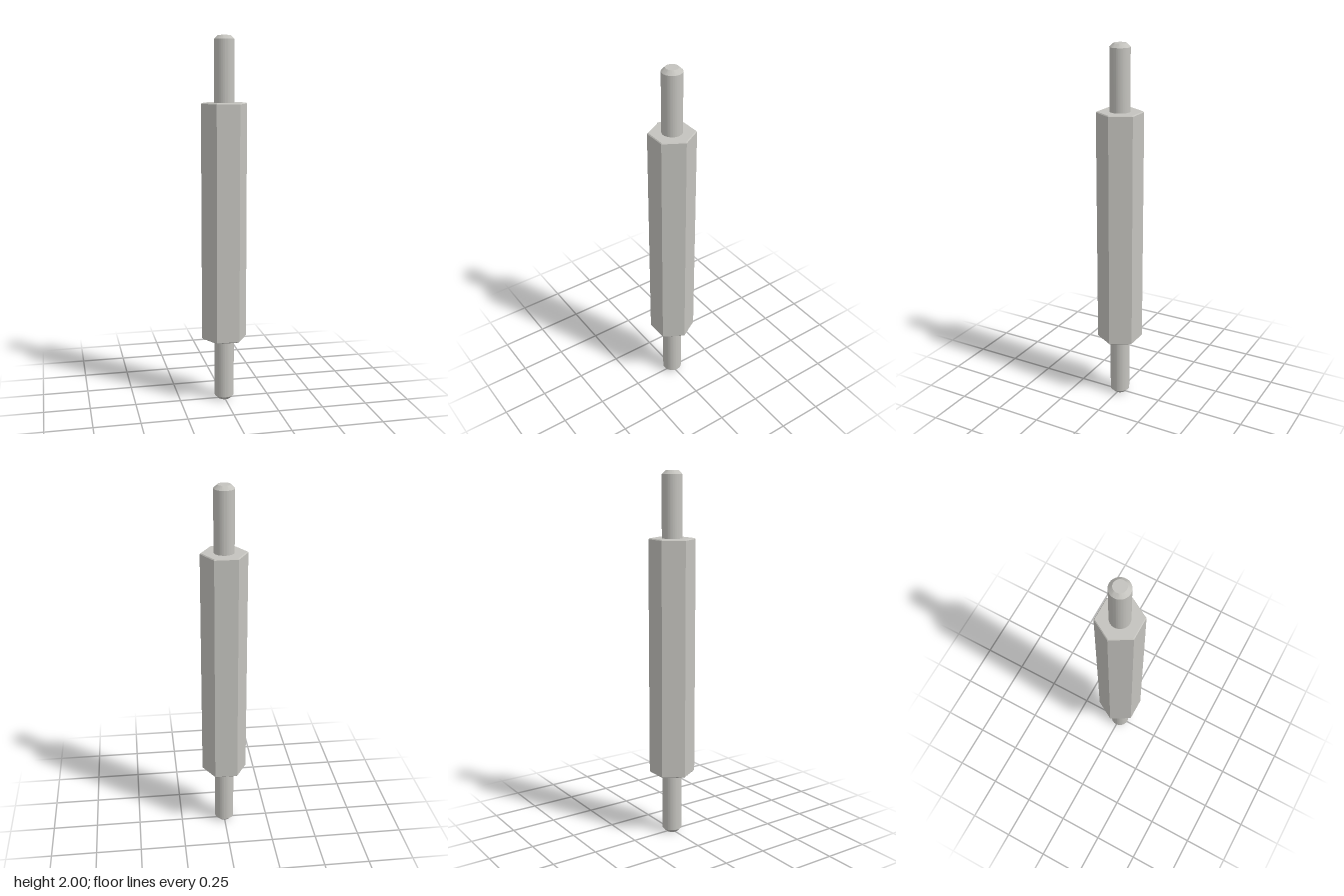
import * as THREE from 'three';
import { toCreasedNormals } from 'three/addons/utils/BufferGeometryUtils.js';

const BODY_BOTTOM = 0.353, BODY_TOP = 1.651;

// Revolve an [radius, height] profile, keeping edges sharper than `crease` radians
function turned(profile, sides, crease) {
  const points = profile.map(([r, y]) => new THREE.Vector2(r, y));
  // start on the x axis so the hexagon's corners point left and right
  const geometry = new THREE.LatheGeometry(points, sides, Math.PI / 2);
  return toCreasedNormals(geometry, crease);
}

export function createModel() {
  const group = new THREE.Group();
  group.name = 'hexStandoff';

  const metal = new THREE.MeshStandardMaterial({ color: 0xc4c3be });
  metal.name = 'metal';

  const add = (name, geometry) => {
    const mesh = new THREE.Mesh(geometry, metal);
    mesh.name = name;
    group.add(mesh);
    return mesh;
  };

  // Hexagonal body with a fine bevel at both ends
  const R = 0.125, bevel = 0.005;
  add('hexBody', turned([
    [0, BODY_BOTTOM],
    [R - bevel, BODY_BOTTOM],
    [R, BODY_BOTTOM + bevel],
    [R, BODY_TOP - bevel],
    [R - bevel, BODY_TOP],
    [0, BODY_TOP],
  ], 6, 0.2));

  // Round studs with chamfered tips
  const r = 0.054, chamfer = 0.02;
  add('topStud', turned([
    [r, BODY_TOP],
    [r, 2 - chamfer],
    [r - chamfer, 2],
    [0, 2],
  ], 64, 0.5));
  add('bottomStud', turned([
    [0, 0],
    [r - chamfer, 0],
    [r, chamfer],
    [r, BODY_BOTTOM],
  ], 64, 0.5));

  return group;
}
